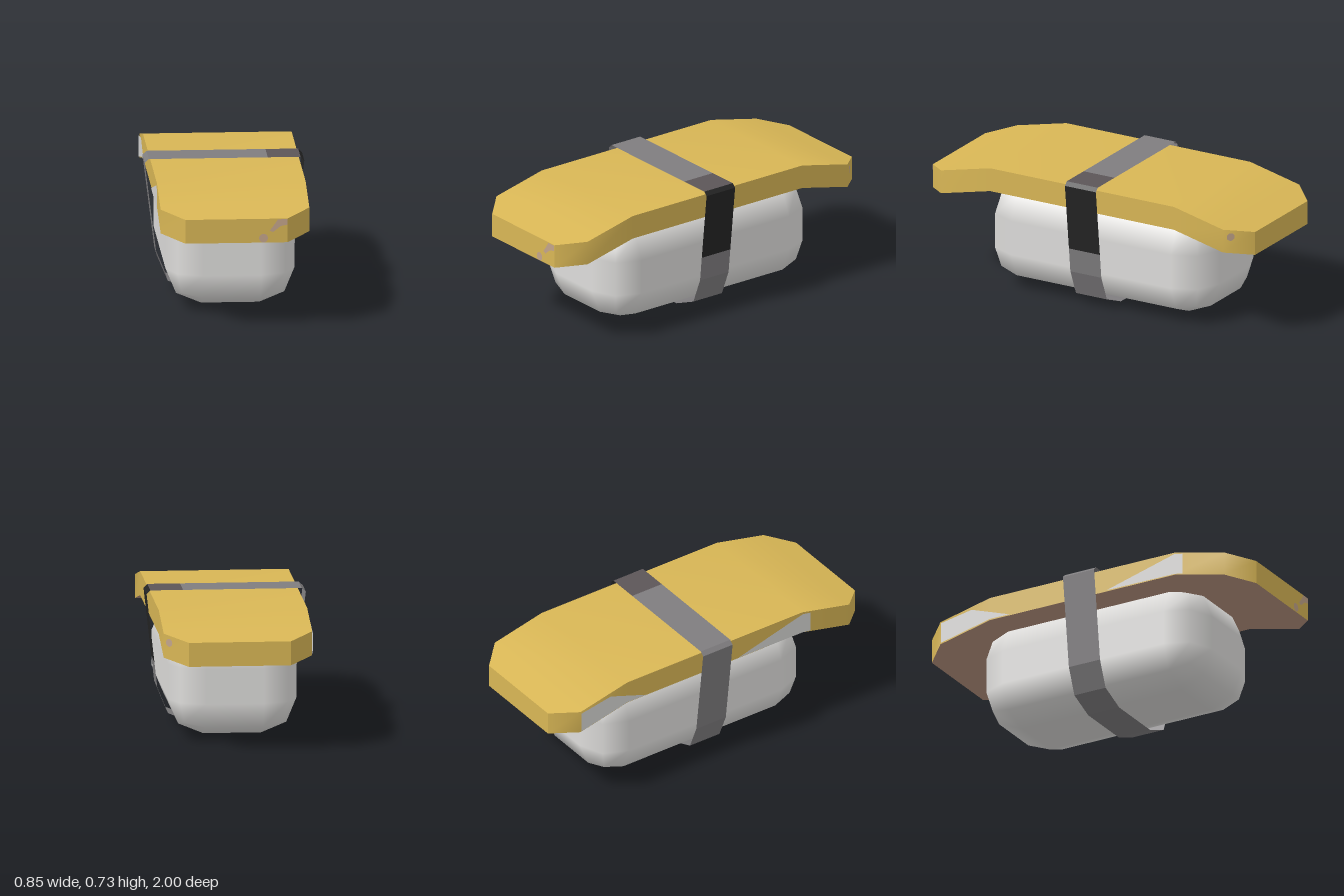
import * as THREE from 'three';
import { RoundedBoxGeometry } from 'three/addons/geometries/RoundedBoxGeometry.js';

const material = (name, color, side = THREE.FrontSide) =>
  new THREE.MeshStandardMaterial({ name, color, side });

// Height of the slab's top surface: flat in the middle, drooping to both ends
const slabTop = (z) => 0.705 - Math.max(0, Math.abs(z) - 0.57) * (0.1 / 0.43);

function slabGeometry() {
  const stations = [-1, -0.875, -0.57, 0.57, 0.875, 1];
  const geo = new THREE.BoxGeometry(2, 1, 5, 1, 1, 5);
  const p = geo.attributes.position;
  for (let i = 0; i < p.count; i++) {
    const z = stations[Math.round(p.getZ(i) + 2.5)];
    const half = Math.abs(z) === 1 ? 0.273 : 0.397;
    p.setXYZ(i, 0.004 + Math.sign(p.getX(i)) * half, slabTop(z) - (p.getY(i) < 0 ? 0.13 : 0), z);
  }
  geo.computeVertexNormals();
  return geo;
}

// Flat-faced open strip following an x-y path, running clockwise seen from the front
function ribbonGeometry(path, z0, z1) {
  const v = [];
  for (let i = 0; i < path.length - 1; i++) {
    const [ax, ay] = path[i], [bx, by] = path[i + 1];
    v.push(ax, ay, z0, ax, ay, z1, bx, by, z1, ax, ay, z0, bx, by, z1, bx, by, z0);
  }
  const geo = new THREE.BufferGeometry();
  geo.setAttribute('position', new THREE.Float32BufferAttribute(v, 3));
  geo.computeVertexNormals();
  return geo;
}

export function createModel() {
  const group = new THREE.Group();
  const egg = material('egg yellow', 0xd8b655);
  const eggBrown = material('toasted underside', 0xb8937f);
  const toast = material('toasted spot', 0xc2a48a, THREE.DoubleSide);
  const rice = material('rice white', 0xdddcda);
  const riceSpot = material('pale spot', 0xd6d5d3, THREE.DoubleSide);
  const seaweed = material('seaweed grey', 0x7f7d7f, THREE.DoubleSide);
  const seaweedDark = material('seaweed dark', 0x5c5658, THREE.DoubleSide);
  const seaweedBlack = material('seaweed black', 0x242424, THREE.DoubleSide);

  const add = (name, geo, mat) => {
    const mesh = new THREE.Mesh(geo, mat);
    mesh.name = name;
    group.add(mesh);
    return mesh;
  };

  // Rice block with bevelled, smoothly shaded edges
  add('riceBlock', new RoundedBoxGeometry(0.69, 0.57, 1.37, 1, 0.19), rice).position.set(0.004, 0.31, -0.025);

  // Egg slab draped on top, browned underneath
  add('eggSlab', slabGeometry(), [egg, egg, egg, eggBrown, egg, egg]);

  // Seaweed band in coloured stretches
  const band = (name, path, mat) => add(name, ribbonGeometry(path, -0.1, 0.092), mat);
  band('bandTop', [[-0.427, 0.705], [-0.405, 0.725], [0.23, 0.725]], seaweed);
  band('bandTopDark', [[0.23, 0.725], [0.405, 0.725]], seaweedDark);
  band('bandSideBlack', [[0.405, 0.725], [0.425, 0.705], [0.383, 0.335]], seaweedBlack);
  band('bandUnder', [[0.383, 0.335], [0.368, 0.2], [0.31, 0.058], [0.165, 0],
    [-0.16, 0], [-0.305, 0.058], [-0.364, 0.2], [-0.427, 0.705]], seaweed);

  // Thin painted patches on the slab's edges
  const patch = (name, points, mat) =>
    add(name, new THREE.ShapeGeometry(new THREE.Shape(points.map(([x, y]) => new THREE.Vector2(x, y)))), mat);
  patch('toastedStreak', [[0.18, 0.54], [0.2, 0.565], [0.225, 0.602], [0.276, 0.602],
    [0.276, 0.572], [0.24, 0.565], [0.2, 0.533]], toast).position.z = 1.003;
  const spot = add('toastedSpot', new THREE.CircleGeometry(0.024, 12), toast);
  spot.position.set(0.148, 0.5, 1.003);
  const cornerSpot = add('toastedCornerSpot', new THREE.CircleGeometry(0.022, 12), toast);
  cornerSpot.position.set(0.375, 0.59, -0.907);
  cornerSpot.rotation.y = Math.PI * 0.75;

  // Pale patches on the right edge, outlined in z and y
  const sidePatches = [
    [[-0.87, 0.625], [-0.87, 0.51], [-0.57, 0.58], [-0.45, 0.58], [-0.68, 0.66]],
    [[0.15, 0.58], [0.57, 0.695], [0.62, 0.685], [0.62, 0.57], [0.57, 0.578]],
  ];
  sidePatches.forEach((points, i) => {
    const mesh = patch('paleEdgePatch' + (i + 1), points, riceSpot);
    mesh.rotation.y = -Math.PI / 2;
    mesh.position.x = -0.397;
  });
  return group;
}
